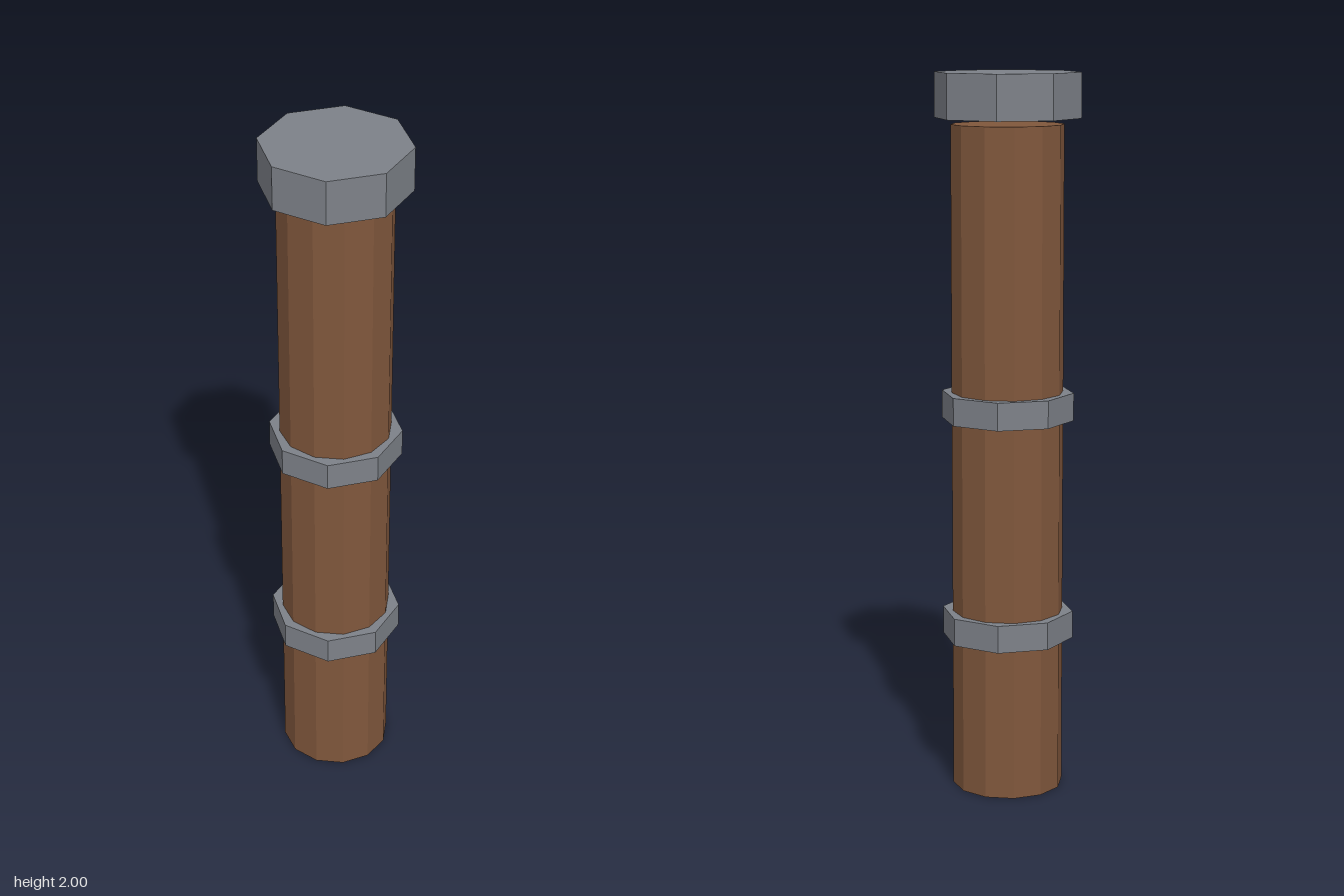
import * as THREE from 'three';

const wood = new THREE.MeshStandardMaterial({ color: 0x80573c, flatShading: true });
const metal = new THREE.MeshStandardMaterial({ color: 0x7d8188, flatShading: true });

// Upright prism spanning bottom..top
function prism(name, radius, bottom, top, sides, material) {
  const geometry = new THREE.CylinderGeometry(radius, radius, top - bottom, sides);
  const mesh = new THREE.Mesh(geometry, material);
  mesh.name = name;
  mesh.position.y = (bottom + top) / 2;
  return mesh;
}

export function createModel() {
  const post = new THREE.Group();
  post.name = 'post';

  // Twelve-sided wooden shaft
  post.add(prism('shaft', 0.155, 0, 1.861, 12, wood));

  // Octagonal metal bands around the shaft
  post.add(prism('lowerBand', 0.184, 0.43, 0.507, 8, metal));
  post.add(prism('upperBand', 0.184, 1.051, 1.128, 8, metal));

  // Octagonal cap, floating just above the shaft
  post.add(prism('cap', 0.201, 1.877, 2, 8, metal));

  return post;
}
